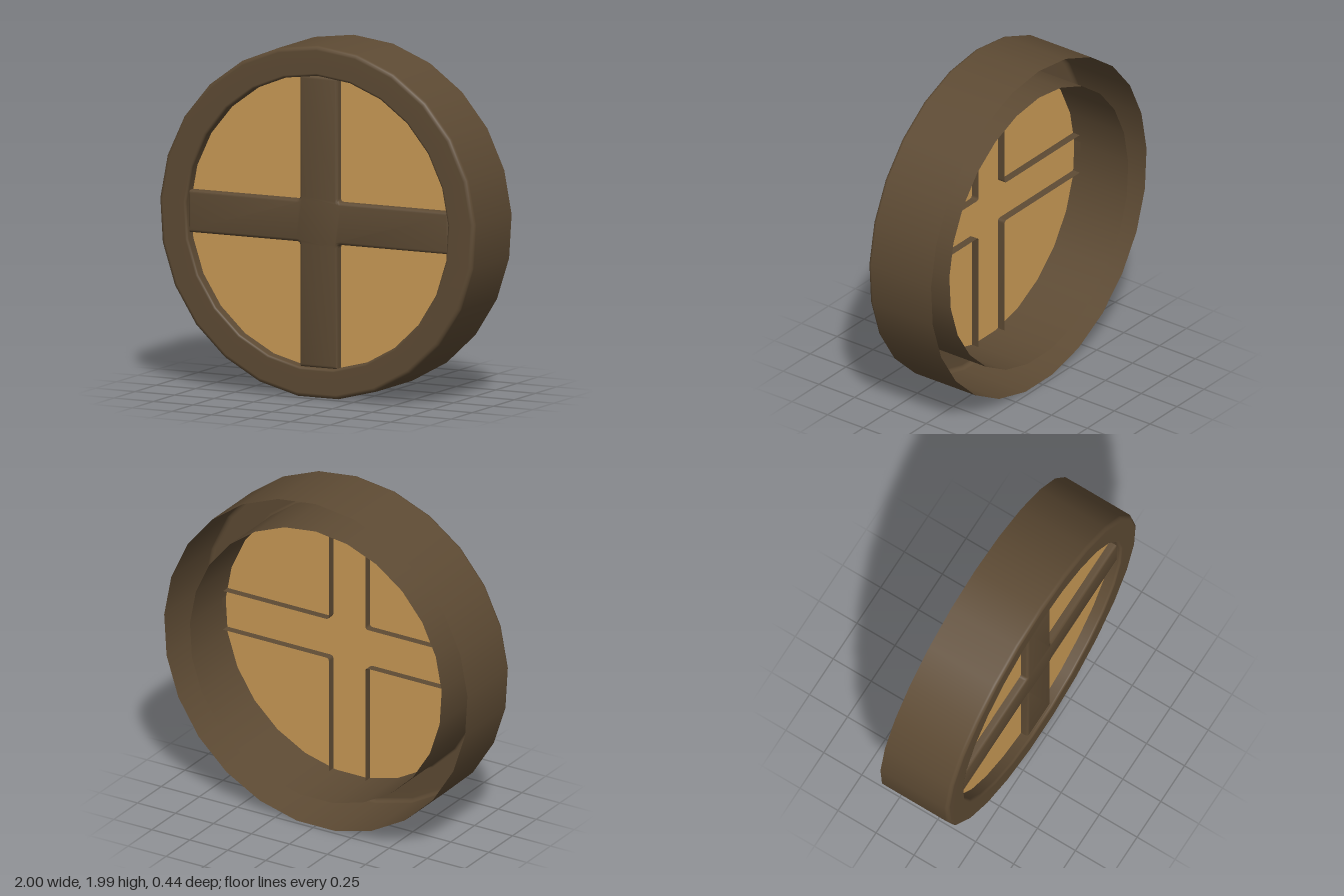
import * as THREE from 'three';
import { toCreasedNormals } from 'three/addons/utils/BufferGeometryUtils.js';

const SIDES = 25, INNER = 0.83, HALF_DEPTH = 0.222, CENTRE_Y = 1;

// quarter-circle of profile points, from angle a0 to a1
function arc(cx, cy, r, a0, a1, n = 4) {
  return Array.from({ length: n + 1 }, (_, i) => {
    const a = a0 + (a1 - a0) * i / n;
    return new THREE.Vector2(cx + r * Math.cos(a), cy + r * Math.sin(a));
  });
}

// round rim: a hollow channel, rounded at the front and open at the back
function rimGeometry() {
  const b = 0.025, f = HALF_DEPTH - b;
  const profile = [
    new THREE.Vector2(1, -HALF_DEPTH),
    ...arc(1 - b, f, b, 0, Math.PI / 2),
    ...arc(INNER + 0.015, HALF_DEPTH - 0.015, 0.015, Math.PI / 2, Math.PI),
    new THREE.Vector2(INNER, -HALF_DEPTH),
  ];
  return new THREE.LatheGeometry(profile, SIDES, Math.PI).rotateX(Math.PI / 2);
}

// cross bars: a bevelled shell with rounded inner corners and no back
function crossGeometry() {
  const w = 0.12, L = 0.825, r = 0.02;
  const shape = new THREE.Shape();
  for (let i = 0; i < 4; i++) {
    const c = Math.round(Math.cos(i * Math.PI / 2)), s = Math.round(Math.sin(i * Math.PI / 2));
    const at = (x, y) => [c * x - s * y, s * x + c * y];
    if (i === 0) shape.moveTo(...at(L, -w));
    else shape.lineTo(...at(L, -w));
    shape.lineTo(...at(L, w));
    shape.lineTo(...at(w + r, w));
    shape.quadraticCurveTo(...at(w, w), ...at(w, w + r));
  }
  shape.closePath();
  const bevel = 0.018;
  const solid = new THREE.ExtrudeGeometry(shape, {
    depth: 0.075, curveSegments: 4,
    bevelThickness: bevel, bevelSize: bevel, bevelOffset: -bevel, bevelSegments: 3,
  });
  // keep only the faces in front of the straight walls' back edge
  const p = solid.attributes.position, kept = [];
  for (let i = 0; i < p.count; i += 3) {
    if (Math.max(p.getZ(i), p.getZ(i + 1), p.getZ(i + 2)) < 1e-5) continue;
    for (let k = i; k < i + 3; k++) kept.push(p.getX(k), p.getY(k), p.getZ(k));
  }
  const shell = new THREE.BufferGeometry();
  shell.setAttribute('position', new THREE.Float32BufferAttribute(kept, 3));
  return toCreasedNormals(shell, 0.7);
}

export function createModel() {
  const frameBrown = new THREE.MeshStandardMaterial({ color: 0x5e4b34, side: THREE.DoubleSide });
  frameBrown.name = 'frameBrown';
  const paneTan = new THREE.MeshStandardMaterial({ color: 0xcb9b56, side: THREE.DoubleSide });
  paneTan.name = 'paneTan';

  const model = new THREE.Group();
  model.name = 'roundWindow';
  const add = (name, geometry, material, z) => {
    const mesh = new THREE.Mesh(geometry, material);
    mesh.name = name;
    mesh.position.set(0, CENTRE_Y, z);
    model.add(mesh);
  };

  add('rim', rimGeometry(), frameBrown, 0);
  add('crossBars', crossGeometry(), frameBrown, 0.108);
  // flat pane, set just behind the front of the bars
  add('pane', new THREE.CircleGeometry(INNER, SIDES, Math.PI / 2), paneTan, 0.155);
  return model;
}
